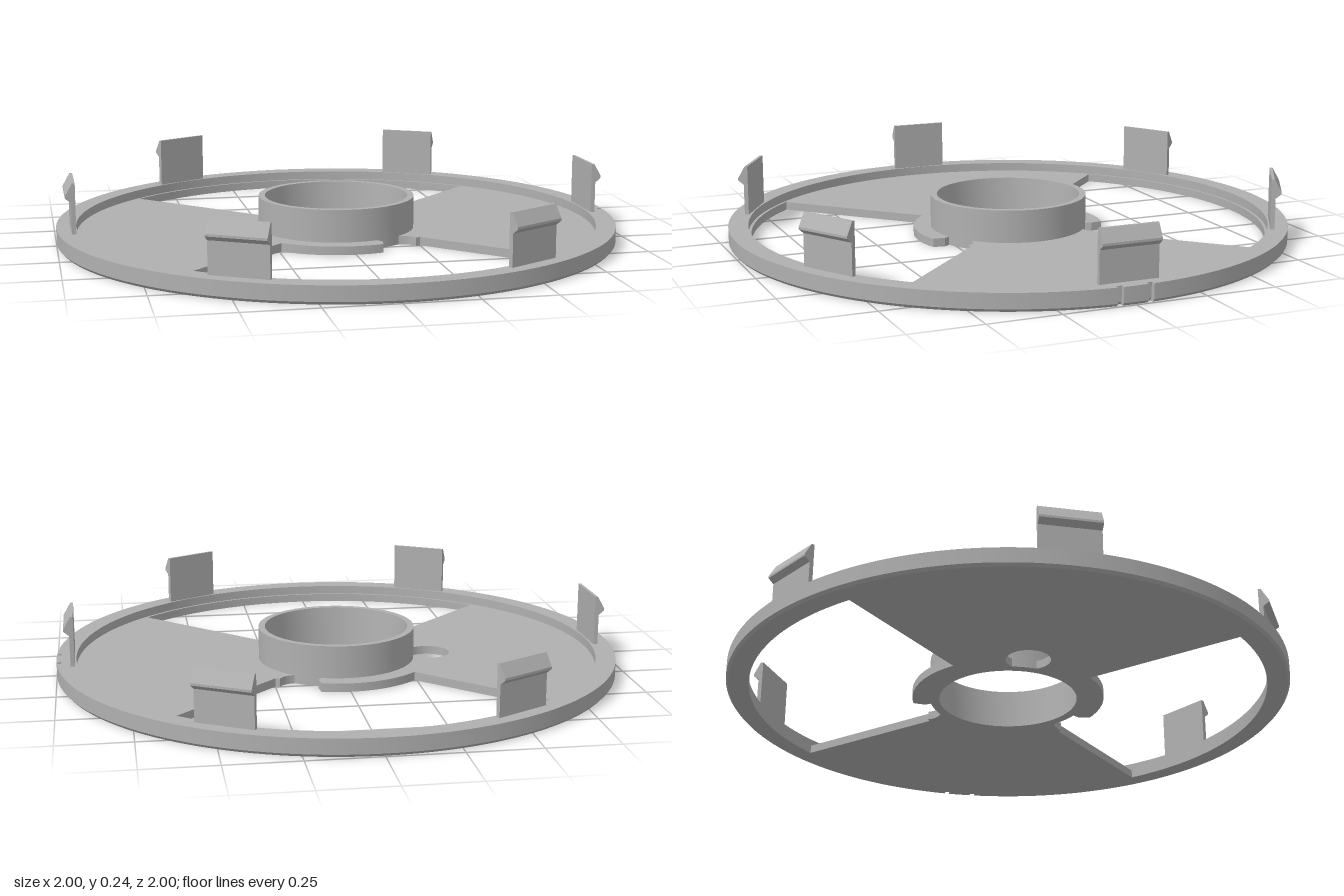
import * as THREE from 'three';
import { toCreasedNormals } from 'three/addons/utils/BufferGeometryUtils.js';

const grey = new THREE.MeshStandardMaterial({ color: 0xb0b0b0 });
grey.name = 'grey plastic';

const polar = (r, a) => [r * Math.cos(a), r * Math.sin(a)];
const rad = THREE.MathUtils.degToRad;

function circleHole(x, y, r) {
  return new THREE.Path().absarc(x, y, r, 0, Math.PI * 2, true);
}

// Extrude a plan-view shape upward from y0 to y1
function slab(shape, y0, y1) {
  const geo = new THREE.ExtrudeGeometry(shape, { depth: y1 - y0, bevelEnabled: false, curveSegments: 120 });
  return geo.rotateX(-Math.PI / 2).translate(0, y0, 0);
}

function addMesh(parent, name, geo) {
  const mesh = new THREE.Mesh(toCreasedNormals(geo, rad(25)), grey);
  mesh.name = name;
  parent.add(mesh);
  return mesh;
}

// Ring outline with two small slots cut in the +x edge
function rimShape(inner) {
  const a = 0.043, b = 0.063, depth = 0.983;
  const s = new THREE.Shape();
  s.absarc(0, 0, 1, b, Math.PI * 2 - b, false);
  s.lineTo(...polar(depth, -b));
  s.lineTo(...polar(depth, -a));
  s.absarc(0, 0, 1, -a, a, false);
  s.lineTo(...polar(depth, a));
  s.lineTo(...polar(depth, b));
  s.closePath();
  s.holes.push(circleHole(0, 0, inner));
  return s;
}

// Two wings joined by the partial flange around the hub
function plateShape() {
  const s = new THREE.Shape();
  const R = 0.925, w = rad(44.6);
  s.absarc(0, 0, R, -w, w, false);
  s.lineTo(0.25, 0.245);
  s.lineTo(0.235, 0.252);
  s.quadraticCurveTo(0.22, 0.22, 0.18, 0.215);
  s.absarc(0, 0, 0.278, rad(50), rad(71), false);
  s.lineTo(0.105, 0.285);
  s.absarc(0, 0, 0.342, rad(73), rad(135), false);
  s.absarc(0, 0, R, Math.PI - w, Math.PI + w, false);
  s.absarc(0, 0, 0.342, rad(225), rad(287), false);
  s.lineTo(0.105, -0.285);
  s.absarc(0, 0, 0.278, rad(289), rad(310), false);
  s.lineTo(0.18, -0.215);
  s.quadraticCurveTo(0.22, -0.22, 0.235, -0.252);
  s.lineTo(0.25, -0.245);
  s.closePath();
  s.holes.push(circleHole(0, 0, 0.25), circleHole(-0.34, 0, 0.077));
  return s;
}

export function createModel() {
  const model = new THREE.Group();
  model.name = 'clipOnCover';

  // Rim: chamfered foot, lower band and a slightly thinner upper band
  const rim = new THREE.Group();
  rim.name = 'rim';
  model.add(rim);
  const foot = slab(rimShape(0.92), 0, 0.01);
  const p = foot.attributes.position;
  for (let i = 0; i < p.count; i++) {
    const x = p.getX(i), z = p.getZ(i);
    if (p.getY(i) < 0.005 && Math.hypot(x, z) > 0.97) p.setXYZ(i, x * 0.991, 0, z * 0.991);
  }
  addMesh(rim, 'rimFoot', foot);
  addMesh(rim, 'rimLower', slab(rimShape(0.92), 0.01, 0.03));
  addMesh(rim, 'rimUpper', slab(rimShape(0.93), 0.03, 0.062));

  // Wings and flange
  addMesh(model, 'wingPlate', slab(plateShape(), 0, 0.03));

  // Hub collar with a tapered bore
  const hub = [[0.246, 0], [0.28, 0], [0.28, 0.145], [0.257, 0.145], [0.246, 0]];
  addMesh(model, 'hubCollar', new THREE.LatheGeometry(hub.map(q => new THREE.Vector2(...q)), 96));

  // Six snap clips with outward hooks
  const profile = [[0.935, 0.03], [0.95, 0.03], [0.95, 0.172], [0.97, 0.188], [0.97, 0.196], [0.945, 0.24], [0.935, 0.24]];
  const clipShape = new THREE.Shape(profile.map(q => new THREE.Vector2(...q)));
  const width = 0.207;
  for (let i = 0; i < 6; i++) {
    const geo = new THREE.ExtrudeGeometry(clipShape, { depth: width, bevelEnabled: false });
    geo.translate(0, 0, -width / 2);
    addMesh(model, 'snapClip', geo).rotation.y = i * Math.PI / 3;
  }
  return model;
}
